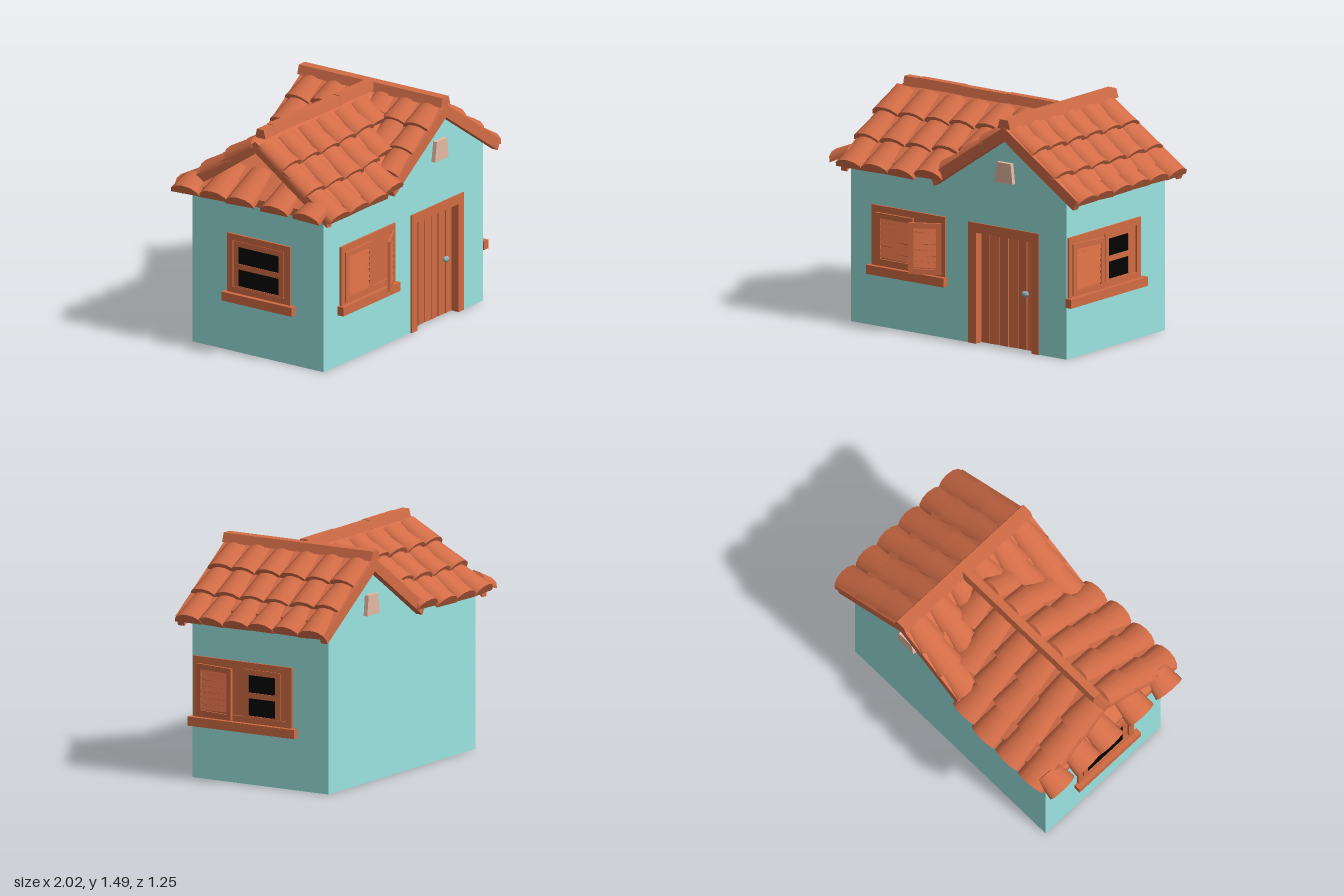
import * as THREE from 'three';

const paint = (name, color) => {
  const m = new THREE.MeshStandardMaterial({ color });
  m.name = name;
  return m;
};

export function createModel() {
  const house = new THREE.Group();
  house.name = 'house';
  const wallMat = paint('pale teal plaster', 0x9ae4e0);
  const clay = paint('terracotta', 0xd36d47);
  clay.side = THREE.DoubleSide;
  const wood = paint('red brown wood', 0xd26b43);
  const dark = paint('black glass', 0x020202);
  const ventMat = paint('pale vent', 0xe4b9a4);
  const metal = paint('grey metal', 0x90aeb2);

  let seed = 7;
  const rnd = () => (seed = (seed * 16807) % 2147483647) / 2147483647 - 0.5;

  const add = (parent, name, geo, mat, x = 0, y = 0, z = 0) => {
    const m = new THREE.Mesh(geo, mat);
    m.name = name;
    m.position.set(x, y, z);
    parent.add(m);
    return m;
  };
  const box = (parent, name, mat, x0, x1, y0, y1, z0, z1) =>
    add(parent, name, new THREE.BoxGeometry(x1 - x0, y1 - y0, z1 - z0), mat, (x0 + x1) / 2, (y0 + y1) / 2, (z0 + z1) / 2);
  const poly = pts => new THREE.Shape(pts.map(p => new THREE.Vector2(...p)));
  const extrude = (pts, depth) => new THREE.ExtrudeGeometry(poly(pts), { depth, bevelEnabled: false });
  const group = (parent, name, x, y, z, ry = 0) => {
    const g = new THREE.Group();
    g.name = name;
    g.position.set(x, y, z);
    g.rotation.y = ry;
    parent.add(g);
    return g;
  };

  // Walls with the cross gable; the front layer has a notch for the recessed door
  const outline = [[0.85, 0], [0.85, 1.043], [0.39, 1.352], [-0.08, 1.035], [-0.85, 1.035], [-0.85, 0]];
  const notch = [[0.1, 0], [0.1, 0.76], [0.62, 0.76], [0.62, 0]];
  add(house, 'walls', extrude(outline, 0.945), wallMat, 0, 0, -0.505);
  add(house, 'frontWall', extrude([...outline, ...notch], 0.065), wallMat, 0, 0, 0.44);

  // Gable roof slab, with longer rake boards at both ends
  const chevron = (x0, y0, x1, y1) => [[x0, y0], [x1, y1], [0.39, 1.35], [0.78 - x1, y1], [0.78 - x0, y0], [0.39, 1.435]];
  add(house, 'gableRoof', extrude(chevron(-0.1, 1.1, -0.08, 1.037), 1.02), clay, 0, 0, -0.51);
  for (const z of [0.507, -0.555])
    add(house, 'rakeBoard', extrude(chevron(-0.19, 1.045, -0.16, 0.98), 0.048), clay, 0, 0, z);

  // Sloped slabs: a plan outline lifted to a height rule
  const slab = (name, plan, height, thick) => {
    const g = extrude(plan.map(([x, z]) => [x, -z]), thick).rotateX(-Math.PI / 2);
    const p = g.attributes.position;
    for (let i = 0; i < p.count; i++) p.setY(i, p.getY(i) - thick + height(p.getX(i), p.getZ(i)));
    g.computeVertexNormals();
    add(house, name, g, clay);
  };
  const mainH = z => 1.43 - 0.68 * Math.abs(z);
  const skirtH = x => 1.02 + 0.62 * (x + 0.98);
  for (const s of [1, -1]) {
    slab('mainRoof', [[-0.85, 0], [0.39, 0], [-0.14, 0.53 * s], [-0.85, 0.53 * s]], (x, z) => mainH(z), 0.05);
    slab('endRake', [[-0.88, 0], [-0.84, 0], [-0.84, 0.56 * s], [-0.89, 0.56 * s]], (x, z) => mainH(z), 0.075);
  }
  slab('endRoof', [[-0.91, -0.5], [-0.91, 0.5], [-0.5, 0.1], [-0.5, -0.1]], skirtH, 0.05);

  // One run of overlapping barrel tiles; each tile's lower end is wider and lifted
  const tiles = group(house, 'roofTiles', 0, 0, 0);
  const tileRun = (top, bottom, width, courses) => {
    const a = new THREE.Vector3(...top), b = new THREE.Vector3(...bottom);
    const up = a.clone().sub(b), len = up.length() / courses;
    up.normalize();
    const side = new THREE.Vector3(-up.z, 0, up.x).normalize();
    const out = side.clone().cross(up);
    if (out.y < 0) out.negate();
    const basis = new THREE.Matrix4().makeBasis(up.clone().cross(out), up, out);
    for (let i = 0; i < courses; i++) {
      const L = len * (i ? 1.12 : 1);
      const g = new THREE.CylinderGeometry(width * 0.43, width * 0.54, L, 6, 1, false, -Math.PI / 2, Math.PI);
      g.scale(1, 1, 0.66).rotateX(-0.07 + rnd() * 0.04).rotateZ(rnd() * 0.11);
      const m = add(tiles, 'tile', g, clay);
      m.quaternion.setFromRotationMatrix(basis);
      m.position.copy(b).addScaledVector(up, len * (courses - 1 - i) + L / 2).addScaledVector(out, -0.014);
    }
  };
  const sag = 0.016;
  const gableH = x => 1.43 - 0.68 * Math.abs(x - 0.39);
  for (const z of [0.455, 0.285, 0.1, -0.085, -0.27, -0.455]) {
    tileRun([0.42, gableH(0.42), z], [0.977, gableH(0.977) - sag, z], 0.19, 3);
    const end = Math.max(-0.18, 0.34 - Math.abs(z));
    tileRun([0.36, gableH(0.36), z], [end, gableH(end), z], 0.19, Math.max(1, Math.round((0.36 - end) / 0.19)));
  }
  for (const s of [1, -1]) {
    for (const x of [-0.8, -0.6, -0.39, -0.2, 0, 0.18]) {
      const end = Math.min(0.592, 0.37 - x);
      tileRun([x, mainH(0.03), 0.03 * s], [x, mainH(end) - sag, end * s], 0.2, Math.max(1, Math.round(end / 0.2)));
    }
  }
  for (const z of [-0.48, -0.26, -0.06, 0.21, 0.46]) {
    const top = Math.abs(z) > 0.4 ? -0.85 : -0.72;
    tileRun([top, skirtH(top), z], [-0.975, skirtH(-0.975), z], 0.2, 1);
  }

  // Ridge caps
  const cap = [[-0.05, 0], [0.05, 0], [0.032, 0.058], [-0.032, 0.058]];
  add(house, 'gableRidge', extrude(cap, 1.11), clay, 0.39, 1.425, -0.56);
  [[-0.81, -0.68], [-0.7, -0.35], [-0.35, 0], [0, 0.37]].forEach(([x0, x1], i) => {
    const r = add(house, 'mainRidge', extrude(cap.map(([x, y]) => [x * 0.8, y]), x1 - x0), clay, x0, 1.432 + 0.004 * (i % 2), -0.012);
    r.rotation.y = Math.PI / 2;
  });

  // Vents on both gables
  for (const z of [0.503, -0.533])
    add(house, 'gableVent', extrude([[-0.08, 0], [0.065, 0], [0.05, 0.13], [-0.06, 0.13]], 0.03), ventMat, 0.38, 1.07, z);

  // Joinery helpers, all facing local +z
  const frame = (parent, name, x0, x1, y0, y1, b, z, d) => {
    const s = poly([[x0, y0], [x1, y0], [x1, y1], [x0, y1]]);
    s.holes.push(new THREE.Path([[x0 + b, y0 + b], [x0 + b, y1 - b], [x1 - b, y1 - b], [x1 - b, y0 + b]].map(p => new THREE.Vector2(...p))));
    add(parent, name, new THREE.ExtrudeGeometry(s, { depth: d, bevelEnabled: false }), wood, 0, 0, z);
  };
  // Louvred shutter hinged at x; a negative width opens from the other jamb
  const shutter = (parent, x, width, angle) => {
    const g = group(parent, 'shutter', x, 0, 0.008, angle);
    const x0 = Math.min(0, width), x1 = Math.max(0, width);
    frame(g, 'shutterFrame', x0, x1, 0.405, 0.735, 0.034, 0, 0.016);
    box(g, 'shutterBack', wood, x0 + 0.03, x1 - 0.03, 0.43, 0.71, 0, 0.004);
    for (let i = 0; i < 7; i++) {
      const l = box(g, 'louvre', wood, x0 + 0.034, x1 - 0.034, 0.447 + i * 0.038, 0.483 + i * 0.038, 0.005, 0.011);
      l.rotation.set(-0.32, 0, rnd() * 0.1);
    }
  };
  const casing = (parent, x0, x1, sillEnd) => {
    frame(parent, 'windowFrame', x0, x1, 0.39, 0.78, 0.042, 0, 0.015);
    box(parent, 'windowSill', wood, x0 - 0.02, x1 + sillEnd, 0.335, 0.393, 0, 0.045);
    box(parent, 'windowBack', wood, x0 + 0.03, x1 - 0.03, 0.4, 0.76, 0, 0.004);
  };
  const sash = (parent, x0, x1) => {
    frame(parent, 'sash', x0, x1, 0.405, 0.735, 0.035, 0.002, 0.01);
    box(parent, 'glass', dark, x0 + 0.035, x1 - 0.035, 0.44, 0.7, 0.003, 0.007);
    box(parent, 'glazingBar', wood, x0 + 0.03, x1 - 0.03, 0.552, 0.588, 0.002, 0.012);
  };

  // Front window
  const front = group(house, 'frontWindow', -0.39, 0, 0.504);
  casing(front, -0.29, 0.29, 0.012);
  shutter(front, -0.25, 0.29, 0);
  shutter(front, 0.26, -0.21, 0.5);

  // Window on the left wall (+x)
  const sideA = group(house, 'leftWindow', 0.849, 0, 0.13, Math.PI / 2);
  casing(sideA, -0.365, 0.37, 0.035);
  shutter(sideA, -0.33, 0.28, -0.13);
  sash(sideA, 0.01, 0.28);

  // Window on the right wall (-x)
  const sideB = group(house, 'rightWindow', -0.849, 0, 0.02, -Math.PI / 2);
  casing(sideB, -0.25, 0.235, 0.035);
  sash(sideB, -0.2, 0.18);

  // Recessed door with planks, frame and knob
  const door = group(house, 'door', 0.36, 0, 0.44);
  box(door, 'doorLeaf', wood, -0.23, 0.23, 0.003, 0.73, 0, 0.008);
  const plank = 0.44 / 6;
  for (let i = 0; i < 6; i++) {
    const p = box(door, 'plank', wood, -0.22 + i * plank + 0.003, -0.22 + (i + 1) * plank - 0.003, 0.003, 0.715, 0.004, 0.022);
    p.rotation.y = i % 2 ? 0.09 : -0.06;
  }
  box(door, 'doorJamb', wood, -0.28, -0.22, 0, 0.775, 0, 0.073);
  box(door, 'doorJamb', wood, 0.22, 0.275, 0, 0.775, 0, 0.073);
  box(door, 'doorLintel', wood, -0.28, 0.275, 0.715, 0.778, 0, 0.073);
  const knob = add(door, 'doorKnob', new THREE.SphereGeometry(0.024, 8, 6), metal, 0.14, 0.365, 0.034);
  knob.scale.set(1.2, 0.8, 0.8);

  return house;
}
